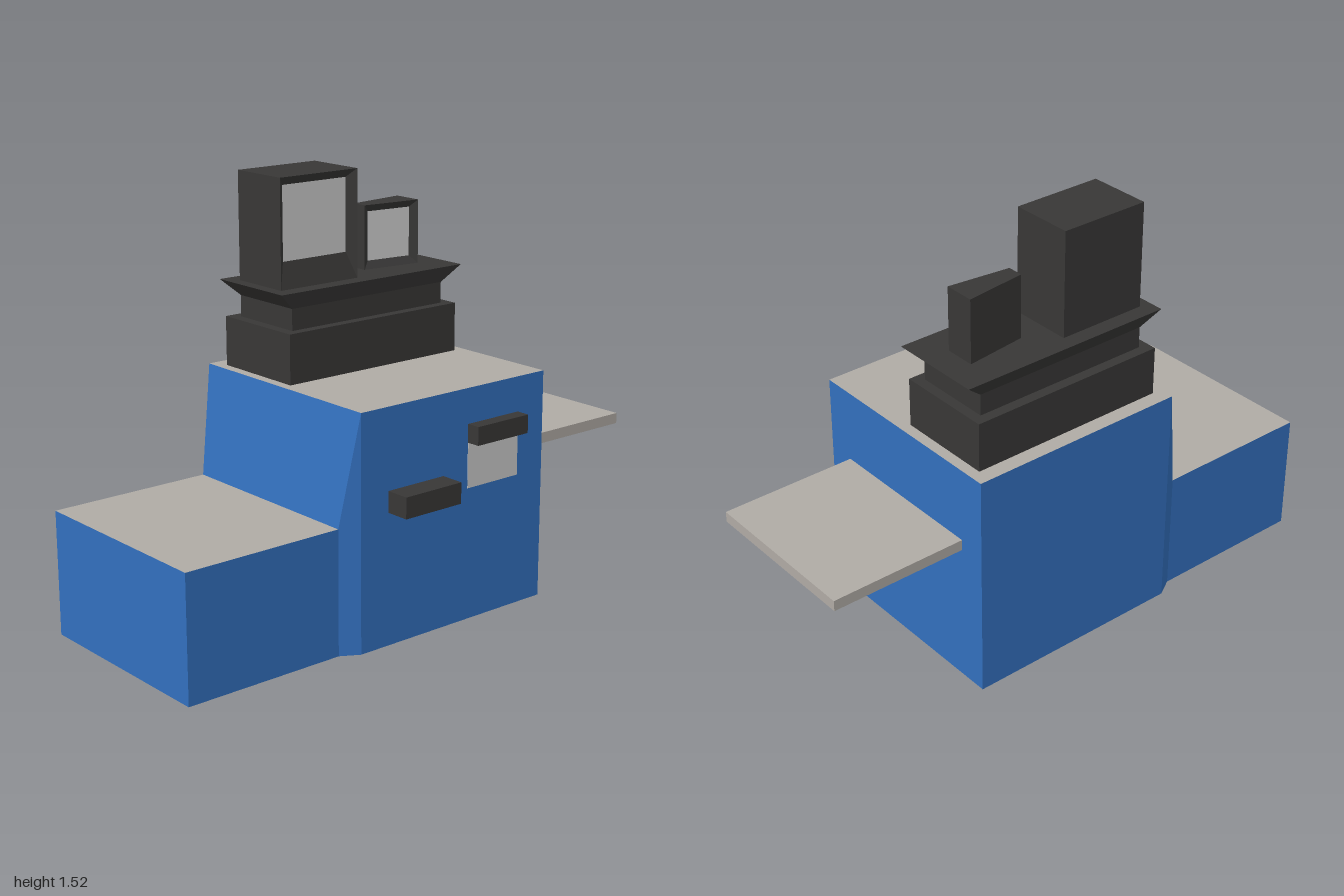
import * as THREE from 'three';

const paint = (color) => new THREE.MeshStandardMaterial({ color, flatShading: true });
const blue = paint(0x3370be);
const warmGrey = paint(0xb0aba5);
const black = paint(0x383736);
const screenGrey = paint(0xcccccc);

// Flat mesh from four-cornered faces, corners counter-clockwise from outside
function quadMesh(name, quads, material) {
  const pos = quads.flatMap(([a, b, c, d]) => [a, b, c, a, c, d].flat());
  const geo = new THREE.BufferGeometry();
  geo.setAttribute('position', new THREE.Float32BufferAttribute(pos, 3));
  geo.computeVertexNormals();
  const mesh = new THREE.Mesh(geo, material);
  mesh.name = name;
  return mesh;
}

// Box given by its extents
function block(name, [x0, x1], [y0, y1], [z0, z1], material) {
  const geo = new THREE.BoxGeometry(x1 - x0, y1 - y0, z1 - z0);
  const mesh = new THREE.Mesh(geo, material);
  mesh.position.set((x0 + x1) / 2, (y0 + y1) / 2, (z0 + z1) / 2);
  mesh.name = name;
  return mesh;
}

// Footprint corners: front -x, front +x, back +x, back -x
const rect = (x0, x1, z0, z1) => [[x0, z1], [x1, z1], [x1, z0], [x0, z0]];
const lift = (footprint, y) => footprint.map(([x, z]) => [x, y, z]);
const walls = (lower, upper) => lower.map((p, i) => {
  const j = (i + 1) % lower.length;
  return [p, lower[j], upper[j], upper[i]];
});

// Upright display whose +x side holds a bevelled, recessed screen
function display(name, footprint, [y0, y1], margin, sill, depth) {
  const lower = lift(footprint, y0);
  const upper = lift(footprint, y1);
  const sides = walls(lower, upper);
  const outer = sides.splice(1, 1)[0];
  const start = new THREE.Vector3(...outer[0]);
  const along = new THREE.Vector3(...outer[1]).sub(start);
  const width = along.length();
  along.normalize();
  const normal = along.clone().cross(new THREE.Vector3(0, 1, 0));
  const inset = (u, y) => start.clone().addScaledVector(along, u)
    .addScaledVector(normal, -depth).setY(y).toArray();
  const inner = [
    inset(margin, y0 + sill), inset(width - margin, y0 + sill),
    inset(width - margin, y1 - margin), inset(margin, y1 - margin),
  ];
  const group = new THREE.Group();
  group.name = name;
  group.add(
    quadMesh(name + 'Case', [...sides, upper, [...lower].reverse(), ...walls(outer, inner)], black),
    quadMesh(name + 'Screen', [inner], screenGrey),
  );
  return group;
}

export function createModel() {
  const model = new THREE.Group();
  model.name = 'machine';

  // Main cabinet with a sloped front and angled front corners
  const L = -0.46, R = 0.368, H = 0.832, back = -0.495, front = 0.333;
  const l = -0.422, r = 0.33, h = 0.444, nose = 0.398;
  const [fl0, fr0, br0, bl0] = lift(rect(L, R, back, front), 0);
  const [fl1, fr1, br1, bl1] = lift(rect(L, R, back, front), H);
  const nl0 = [l, 0, nose], nr0 = [r, 0, nose], nl1 = [l, h, nose], nr1 = [r, h, nose];
  model.add(
    quadMesh('cabinet', [
      [br0, bl0, bl1, br1],
      [fr0, br0, br1, fr1], [nr0, fr0, fr1, nr1],
      [bl0, fl0, fl1, bl1], [fl0, nl0, nl1, fl1],
      [nl1, nr1, fr1, fl1],
      [bl0, br0, fr0, fl0], [fl0, fr0, nr0, nl0],
    ], blue),
    quadMesh('cabinetTop', [[fl1, fr1, br1, bl1]], warmGrey),
  );

  // Low front block: blue sides, grey top and bottom
  model.add(block('frontBlock', [l, r], [0, h], [nose, 1],
    [blue, blue, warmGrey, warmGrey, blue, blue]));

  // Rear shelf
  model.add(block('rearShelf', [-0.36, 0.264], [0.522, 0.561], [-1, back], warmGrey));

  // Side fittings
  model.add(
    block('upperHandle', [R, 0.418], [0.64, 0.706], [-0.374, -0.139], black),
    block('lowerHandle', [R, 0.456], [0.47, 0.545], [-0.028, 0.216], black),
    block('sidePanel', [R - 0.01, R + 0.002], [0.478, 0.64], [-0.374, -0.139], screenGrey),
  );

  // Stepped pedestal with a flared tray
  const neck = [[-0.365, -0.077], [-0.417, 0.26]];
  model.add(
    block('pedestalBase', [-0.403, -0.042], [H, 1.008], [-0.455, 0.298], black),
    block('pedestalNeck', neck[0], [1.008, 1.084], neck[1], black),
  );
  const trayLow = lift(rect(...neck[0], ...neck[1]), 1.084);
  const trayTop = lift(rect(-0.397, -0.049, -0.488, 0.325), 1.144);
  model.add(quadMesh('tray',
    [...walls(trayLow, trayTop), trayTop, [...trayLow].reverse()], black));

  // Two displays: a large box and a small wedge
  model.add(
    display('largeDisplay', rect(-0.339, -0.107, -0.052, 0.282), [1.144, 1.525], 0.03, 0.091, 0.027),
    display('smallDisplay',
      [[-0.251, -0.158], [-0.193, -0.158], [-0.167, -0.386], [-0.28, -0.386]],
      [1.144, 1.374], 0.026, 0.027, 0.02),
  );

  return model;
}
